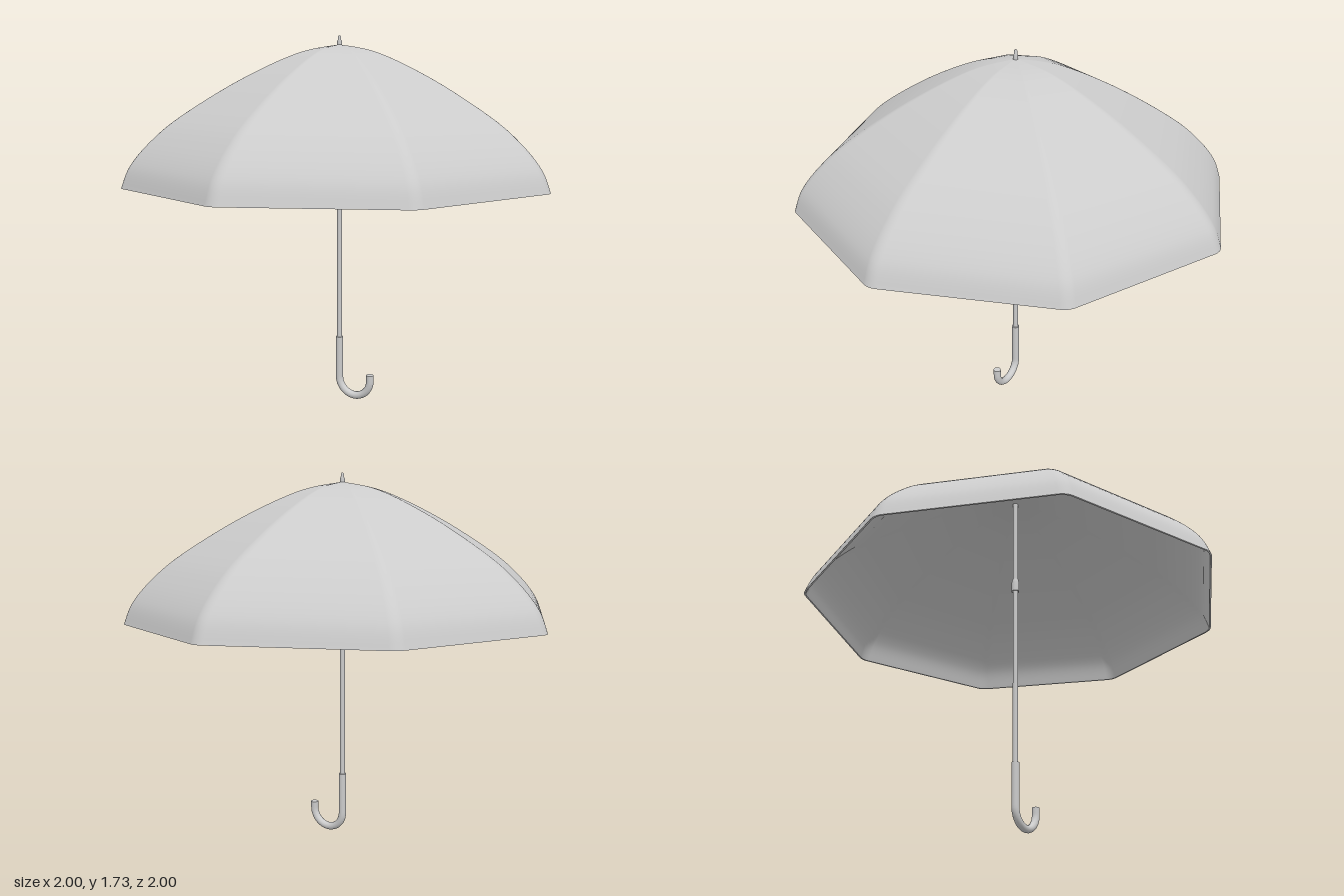
import * as THREE from 'three';
import { mergeGeometries } from 'three/addons/utils/BufferGeometryUtils.js';

const material = new THREE.MeshStandardMaterial({ color: 0xcccccc, side: THREE.DoubleSide });
const RIBS = 8, CORNER = 0.08, CLOTH = 0.008;

function add(parent, name, geometry, x = 0, y = 0, z = 0) {
  const mesh = new THREE.Mesh(geometry, material);
  mesh.name = name;
  mesh.position.set(x, y, z);
  parent.add(mesh);
  return mesh;
}

const lathe = (points, segments = 20) =>
  new THREE.LatheGeometry(points.map(([r, y]) => new THREE.Vector2(r, y)), segments);

// Octagon of unit radius with a small arc at every rib
function octagon() {
  const ring = [], steps = 6;
  for (let k = 0; k < RIBS; k++) {
    const rib = (k / RIBS) * Math.PI * 2;
    for (let s = 0; s <= steps; s++) {
      const a = rib + (s / steps - 0.5) * (Math.PI * 2 / RIBS);
      ring.push([
        (1 - CORNER) * Math.cos(rib) + CORNER * Math.cos(a),
        (1 - CORNER) * Math.sin(rib) + CORNER * Math.sin(a),
      ]);
    }
  }
  return ring;
}

// Sweeps a (radius, height) profile around the octagon
function sweep(profile, ring) {
  const positions = [], index = [], n = ring.length;
  for (const p of profile)
    for (const [x, z] of ring) positions.push(x * p.x, p.y, z * p.x);
  for (let i = 0; i < profile.length - 1; i++) {
    for (let j = 0; j < n; j++) {
      const a = i * n + j, b = i * n + (j + 1) % n;
      index.push(a, b, a + n, b, b + n, a + n);
    }
  }
  const g = new THREE.BufferGeometry();
  g.setAttribute('position', new THREE.Float32BufferAttribute(positions, 3));
  g.setIndex(index);
  g.computeVertexNormals();
  return g;
}

// Thin cloth: outer skin, inner skin and the hem between them
function canopyGeometry() {
  const rib = new THREE.SplineCurve([
    [0, 1.69], [0.2, 1.648], [0.47, 1.525], [0.735, 1.365],
    [0.87, 1.255], [0.96, 1.15], [1, 1.055],
  ].map(([r, y]) => new THREE.Vector2(r, y)));
  const outer = rib.getPoints(36);
  const inner = outer.map((p, i) => {
    const t = i / (outer.length - 1);
    return new THREE.Vector2(Math.max(0, p.x - CLOTH * t), p.y - CLOTH * (1 - t));
  }).reverse();
  const ring = octagon();
  return mergeGeometries([
    sweep(outer, ring),
    sweep([outer[outer.length - 1], inner[0]], ring),
    sweep(inner, ring),
  ]);
}

// J-shaped grip: straight sleeve, half-circle hook, short upturned end
function buildHandle(parent) {
  const r = 0.018, bend = 0.083, base = r + bend;
  const handle = new THREE.Group();
  handle.name = 'handle';
  const path = new THREE.CurvePath();
  const v = (x, y) => new THREE.Vector3(x, y, 0);
  const arc = [];
  for (let i = 0; i <= 24; i++) {
    const a = Math.PI * (1 + i / 24);
    arc.push(v(bend + bend * Math.cos(a), base + bend * Math.sin(a)));
  }
  path.add(new THREE.LineCurve3(v(0, 0.3), v(0, base)));
  path.add(new THREE.CatmullRomCurve3(arc));
  path.add(new THREE.LineCurve3(v(2 * bend, base), v(2 * bend, 0.13)));
  add(handle, 'grip', new THREE.TubeGeometry(path, 90, r, 16));
  for (const [name, x, y] of [['gripTop', 0, 0.3], ['hookEnd', 2 * bend, 0.13]])
    add(handle, name, new THREE.CircleGeometry(r, 16), x, y).rotation.x = -Math.PI / 2;
  parent.add(handle);
}

export function createModel() {
  const umbrella = new THREE.Group();
  umbrella.name = 'umbrella';

  add(umbrella, 'canopy', canopyGeometry());
  add(umbrella, 'shaft', new THREE.CylinderGeometry(0.0125, 0.0125, 1.4, 16), 0, 0.985);

  // Sliding collar under the canopy
  add(umbrella, 'runner', lathe([
    [0.0125, 1.17], [0.019, 1.17], [0.019, 1.17], [0.019, 1.215],
    [0.015, 1.235], [0.0125, 1.235],
  ]));

  // Metal tip above the canopy
  add(umbrella, 'ferrule', lathe([
    [0.011, 1.67], [0.011, 1.705], [0.008, 1.71], [0.007, 1.725], [0.004, 1.73], [0, 1.731],
  ], 16));

  buildHandle(umbrella);
  return umbrella;
}
